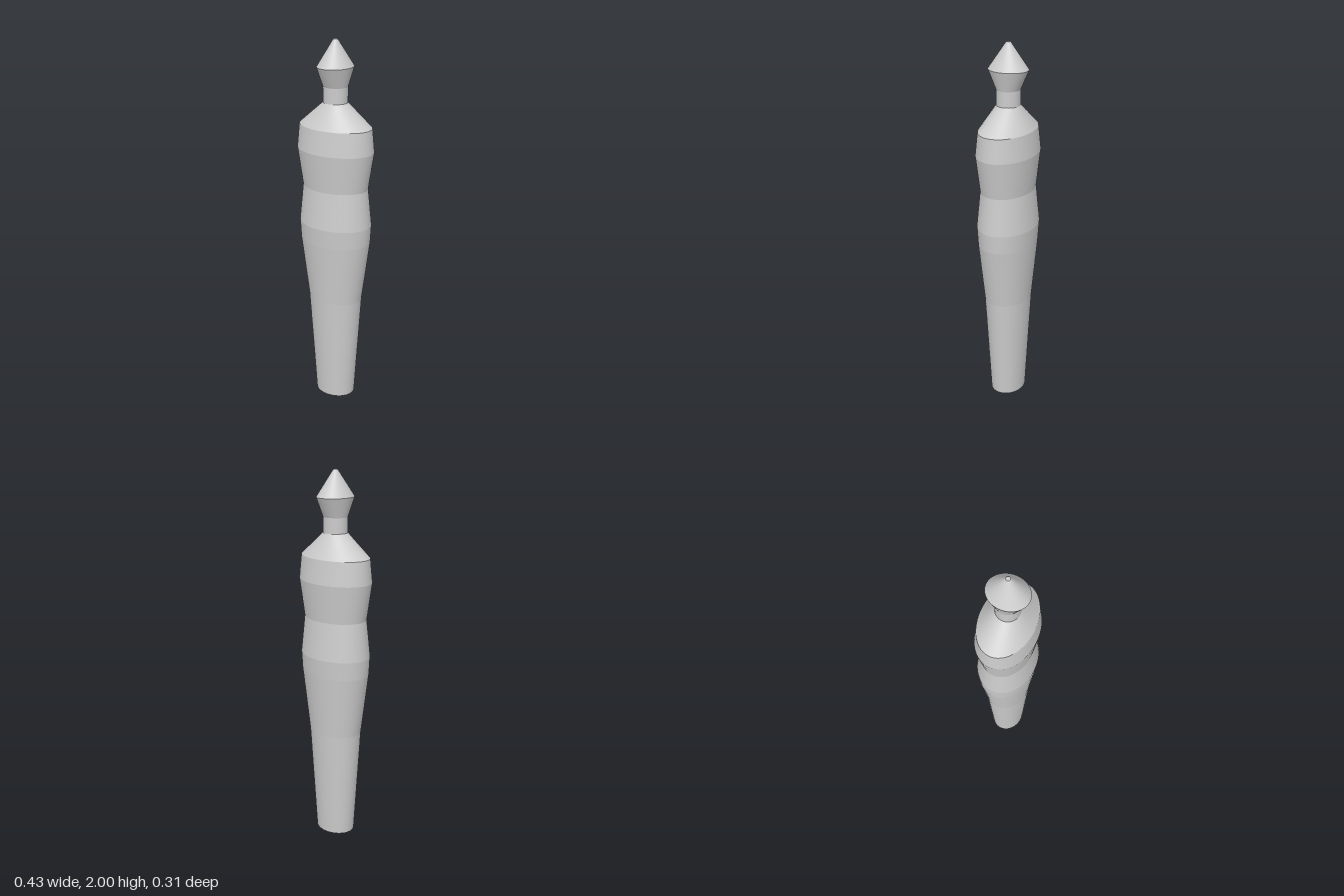
import * as THREE from 'three';

const SEGMENTS = 64;

// Elliptical rings [y, half width, half depth]; each band between two rings has
// its own vertices, so it is smooth around and creased along the rings.
function loft(rings, capBottom, capTop) {
  const pos = [], index = [];
  const addRing = ([y, rx, rz]) => {
    const start = pos.length / 3;
    for (let i = 0; i < SEGMENTS; i++) {
      const a = (i / SEGMENTS) * Math.PI * 2;
      pos.push(rx * Math.cos(a), y, rz * Math.sin(a));
    }
    return start;
  };
  for (let r = 0; r < rings.length - 1; r++) {
    const lo = addRing(rings[r]), hi = addRing(rings[r + 1]);
    for (let i = 0; i < SEGMENTS; i++) {
      const j = (i + 1) % SEGMENTS;
      index.push(lo + i, hi + i, lo + j, lo + j, hi + i, hi + j);
    }
  }
  const cap = (ring, up) => {
    const s = addRing(ring);
    for (let i = 1; i < SEGMENTS - 1; i++) {
      if (up) index.push(s, s + i + 1, s + i);
      else index.push(s, s + i, s + i + 1);
    }
  };
  if (capBottom) cap(rings[0], false);
  if (capTop) cap(rings[rings.length - 1], true);
  const geometry = new THREE.BufferGeometry();
  geometry.setAttribute('position', new THREE.Float32BufferAttribute(pos, 3));
  geometry.setIndex(index);
  geometry.computeVertexNormals();
  return geometry;
}

export function createModel() {
  const model = new THREE.Group();
  model.name = 'figure';
  const grey = new THREE.MeshStandardMaterial({ color: 0xcccccc });
  grey.name = 'light grey';

  const add = (name, rings, capBottom = false, capTop = false) => {
    const mesh = new THREE.Mesh(loft(rings, capBottom, capTop), grey);
    mesh.name = name;
    model.add(mesh);
  };

  // Tapered legs up to the hips
  const hip = [1.04, 0.205, 0.155];
  add('legs', [[0, 0.113, 0.093], [0.6, 0.153, 0.122], [0.94, 0.2, 0.149], hip], true);

  // Waist and chest
  const shoulder = [1.565, 0.206, 0.138];
  add('torso', [hip, [1.24, 0.185, 0.134], [1.44, 0.217, 0.153], shoulder]);

  // Sloping shoulders and straight neck
  const neckBase = [1.685, 0.065, 0.062], neckTop = [1.765, 0.065, 0.062];
  add('shoulders', [shoulder, neckBase]);
  add('neck', [neckBase, neckTop]);

  // Double-cone head with a tiny flat tip
  add('head', [neckTop, [1.865, 0.09, 0.106], [2, 0.011, 0.011]], false, true);

  return model;
}
